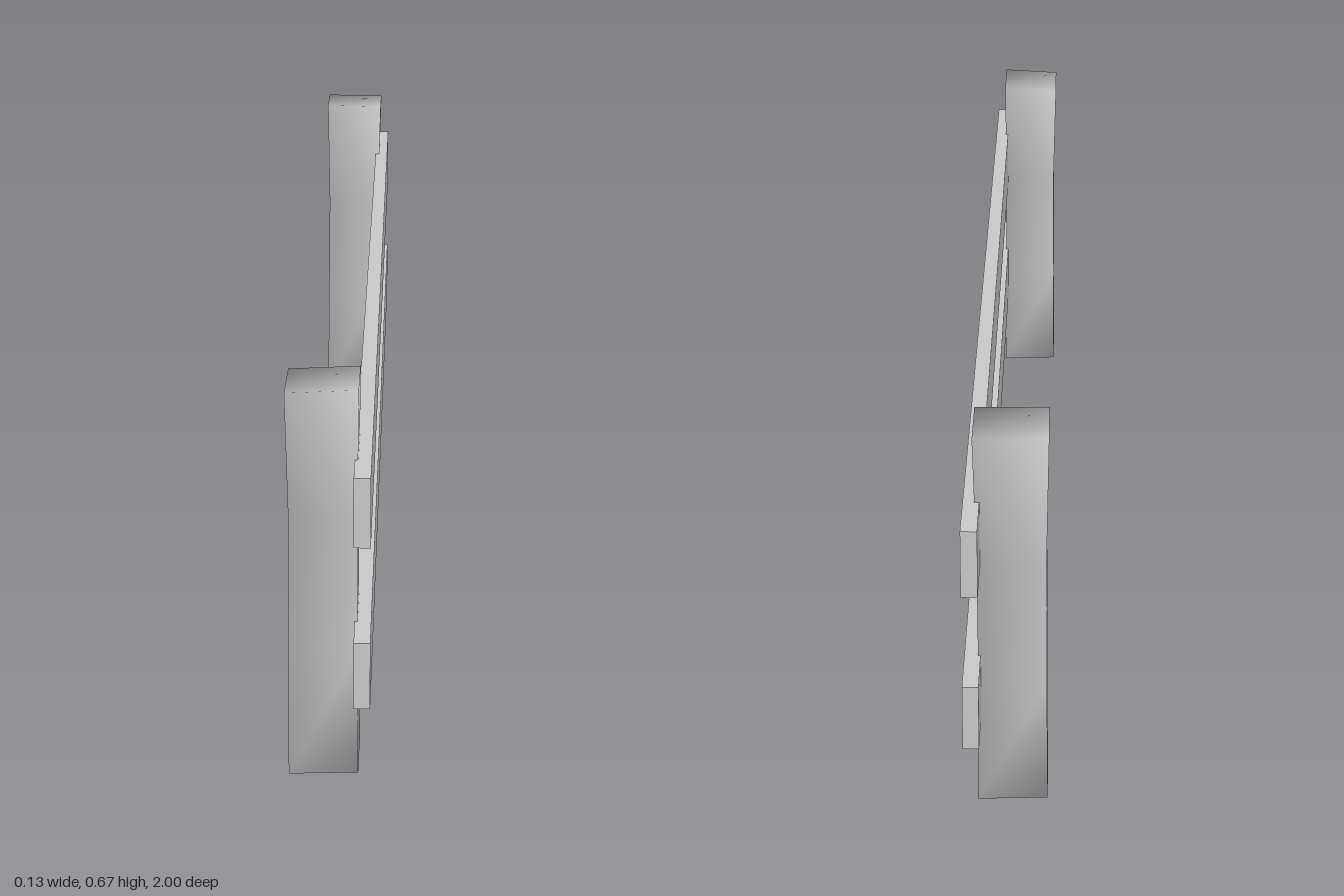
import * as THREE from 'three';
import { mergeVertices } from 'three/addons/utils/BufferGeometryUtils.js';

const material = new THREE.MeshStandardMaterial({ color: 0xcccccc });

// Rough hewn post: a softly shaded box following sections of [y, xMin, xMax, zMin, zMax],
// with top corners raised by tilt = [along x, along z]
function createPost(name, sections, tilt) {
  const rows = sections.length - 1;
  let geometry = new THREE.BoxGeometry(1, 1, 1, 1, rows, 1);
  geometry.deleteAttribute('uv');
  geometry.deleteAttribute('normal');
  geometry = mergeVertices(geometry);
  const p = geometry.attributes.position;
  for (let i = 0; i < p.count; i++) {
    const row = Math.round((p.getY(i) + 0.5) * rows);
    const [y, x0, x1, z0, z1] = sections[row];
    const sx = Math.sign(p.getX(i)), sz = Math.sign(p.getZ(i));
    const lift = row === rows ? tilt[0] * sx + tilt[1] * sz : 0;
    // the bottom is slightly uneven too
    const foot = row === 0 ? 0.002 * (1 + sx * sz) : 0;
    p.setXYZ(i, sx < 0 ? x0 : x1, y + lift + foot, sz < 0 ? z0 : z1);
  }
  geometry.computeVertexNormals();
  const post = new THREE.Mesh(geometry, material);
  post.name = name;
  return post;
}

// Flat plank running the whole length
function createRail(name, y) {
  const rail = new THREE.Mesh(new THREE.BoxGeometry(0.026, 0.115, 2), material);
  rail.name = name;
  rail.position.set(0.053, y, 0);
  return rail;
}

export function createModel() {
  const fence = new THREE.Group();
  fence.name = 'fence';
  fence.add(
    createPost('frontPost', [
      [0, -0.066, 0.046, 0.817, 0.931],
      [0.22, -0.065, 0.044, 0.820, 0.928],
      [0.45, -0.063, 0.044, 0.825, 0.926],
      [0.663, -0.067, 0.046, 0.818, 0.936],
    ], [0.003, 0.003]),
    createPost('backPost', [
      [0, -0.068, 0.046, -0.910, -0.792],
      [0.22, -0.066, 0.044, -0.908, -0.799],
      [0.44, -0.064, 0.045, -0.907, -0.806],
      [0.663, -0.067, 0.051, -0.909, -0.801],
    ], [-0.001, 0.001]),
    createRail('lowerRail', 0.218),
    createRail('upperRail', 0.495),
  );
  return fence;
}
